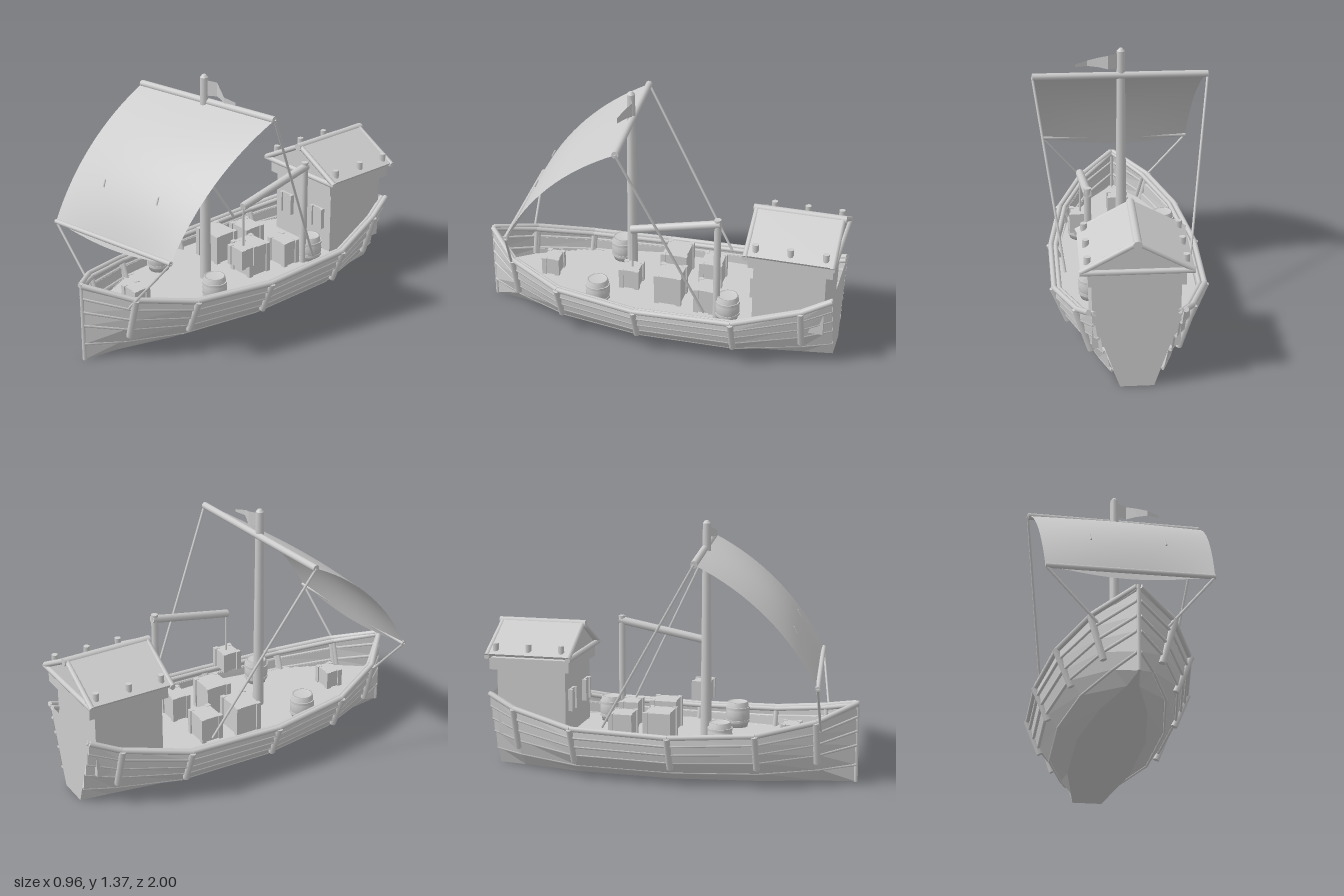
import * as THREE from 'three';

const wood = new THREE.MeshStandardMaterial({ color: 0xcccccc, side: THREE.DoubleSide });
wood.name = 'plainGrey';

const V = (x, y, z) => new THREE.Vector3(x, y, z);

function add(parent, name, geo, x = 0, y = 0, z = 0) {
  const m = new THREE.Mesh(geo, wood);
  m.name = name;
  m.position.set(x, y, z);
  parent.add(m);
  return m;
}
const box = (p, name, w, h, d, x, y, z) => add(p, name, new THREE.BoxGeometry(w, h, d), x, y, z);

// round bar from a to b
function bar(parent, name, a, b, r0, r1 = r0, sides = 10) {
  const dir = b.clone().sub(a);
  const m = add(parent, name, new THREE.CylinderGeometry(r1, r0, dir.length(), sides));
  m.position.copy(a).add(b).multiplyScalar(0.5);
  m.quaternion.setFromUnitVectors(V(0, 1, 0), dir.normalize());
}

// flat-shaded faces from a list of quads
function quads(list) {
  const pos = [];
  for (const [a, b, c, d] of list) for (const p of [a, b, c, a, c, d]) pos.push(p.x, p.y, p.z);
  const g = new THREE.BufferGeometry();
  g.setAttribute('position', new THREE.Float32BufferAttribute(pos, 3));
  g.computeVertexNormals();
  return g;
}

// hull stations: z, rail half width, rail height, bottom half width, straightness of the side
const stations = [
  [0.99, 0.004, 0.43, 0.002, 0], [0.8, 0.19, 0.36, 0.03, 0.3], [0.5, 0.325, 0.302, 0.115, 0.1],
  [0.05, 0.39, 0.28, 0.18, 0], [-0.48, 0.385, 0.295, 0.17, 0], [-0.83, 0.28, 0.36, 0.11, 0.45],
  [-0.985, 0.23, 0.425, 0.085, 1],
];
const levels = [0, 0.22, 0.47, 0.65, 0.83, 1];
const flare = [0, 0.42, 0.72, 0.85, 0.95, 1];
function flareAt(t) {
  const i = Math.max(1, levels.findIndex(l => t <= l));
  const k = (t - levels[i - 1]) / (levels[i] - levels[i - 1]);
  return flare[i - 1] + (flare[i] - flare[i - 1]) * k;
}
function hullPoint(i, t, side, off = 0) {
  const [z, w, h, b, straight] = stations[i];
  const f = THREE.MathUtils.lerp(flareAt(t), t, straight);
  const o = i === 0 ? off * 0.4 : off;
  return V(side * Math.max(b + (w - b) * f + o, 0), t * h, z);
}

function buildHull(g) {
  const hull = new THREE.Group();
  hull.name = 'hull';
  g.add(hull);
  const n = stations.length;
  const bottom = [];
  for (const s of [-1, 1]) {
    // lapped strakes
    for (let j = 0; j < 5; j++) {
      const q = [];
      for (let i = 0; i < n - 1; i++) {
        const lo = (k, o) => hullPoint(k, levels[j], s, o);
        const lip = j ? 0.016 : 0;
        q.push([lo(i, lip), lo(i + 1, lip), hullPoint(i + 1, levels[j + 1], s), hullPoint(i, levels[j + 1], s)]);
        if (j) q.push([lo(i, 0), lo(i + 1, 0), lo(i + 1, lip), lo(i, lip)]);
      }
      add(hull, 'strake', quads(q));
    }
    for (let i = 0; i < n - 1; i++) {
      // gunwale, inner rail and rubbing strips
      bar(hull, 'rail', hullPoint(i, 1, s, 0.008), hullPoint(i + 1, 1, s, 0.008), 0.015, 0.015, 8);
      bar(hull, 'innerRail', hullPoint(i, 0.98, s, -0.018), hullPoint(i + 1, 0.98, s, -0.018), 0.013, 0.013, 8);
      for (const t of levels.slice(1, 5)) {
        bar(hull, 'rubbingStrip', hullPoint(i, t, s, 0.01), hullPoint(i + 1, t, s, 0.01), 0.008, 0.008, 6);
      }
      // posts outside and ribs inside
      if (i > 0) {
        bar(hull, 'sidePost', hullPoint(i, 0.35, s, 0.03), hullPoint(i, 1, s, 0.016), 0.018, 0.018, 8);
        bar(hull, 'rib', hullPoint(i, 0.6, s, -0.014), hullPoint(i, 0.96, s, -0.014), 0.012, 0.012, 6);
      }
      if (s === 1) {
        bottom.push([hullPoint(i, 0, -1), hullPoint(i, 0, 1), hullPoint(i + 1, 0, 1), hullPoint(i + 1, 0, -1)]);
      }
    }
  }
  add(hull, 'bottom', quads(bottom));
  bar(hull, 'stem', V(0, 0, 0.989), V(0, 0.44, 0.989), 0.011, 0.011, 8);

  // transom
  const pts = [0, 1].map(t => hullPoint(n - 1, t, 1)).map(p => new THREE.Vector2(p.x, p.y));
  const outline = [...pts, ...pts.map(p => new THREE.Vector2(-p.x, p.y)).reverse()];
  add(hull, 'transom', new THREE.ShapeGeometry(new THREE.Shape(outline)), 0, 0, -0.985);

  // deck boards trimmed to the hull, over a solid underdeck
  const half = i => Math.abs(hullPoint(i, 0.2 / stations[i][2], 1).x);
  const board = (x0, x1, y) => {
    const q = [];
    for (let i = 0; i < n - 1; i++) {
      const c = (x, k) => V(THREE.MathUtils.clamp(x, -half(k), half(k)), y, stations[k][0]);
      q.push([c(x0, i), c(x1, i), c(x1, i + 1), c(x0, i + 1)]);
    }
    return quads(q);
  };
  for (let k = -4; k < 4; k++) add(hull, 'deckBoard', board(k * 0.095 + 0.002, k * 0.095 + 0.093, 0.205));
  add(hull, 'underdeck', board(-0.4, 0.4, 0.195));
}

function buildRig(g) {
  const rig = new THREE.Group();
  rig.name = 'rig';
  g.add(rig);
  bar(rig, 'mast', V(0, 0.2, 0.17), V(0, 1.36, 0.17), 0.031, 0.022, 12);
  add(rig, 'mastCap', new THREE.CylinderGeometry(0.01, 0.022, 0.014, 12), 0, 1.367, 0.17);
  const yl = V(-0.475, 1.206, 0.21), yr = V(0.475, 1.245, 0.11);
  const fl = V(-0.43, 0.592, 0.838), fr = V(0.425, 0.634, 0.745);
  bar(rig, 'yard', yl, yr, 0.019);
  bar(rig, 'footSpar', fl, fr, 0.013);

  // billowing sail
  const sailPoint = (u, v) => {
    const a = yl.clone().lerp(yr, u), b = fl.clone().lerp(fr, u);
    const c = a.clone().lerp(b, 0.5);
    c.y += 0.1;
    c.z += 0.11;
    const p = a.multiplyScalar((1 - v) ** 2).addScaledVector(c, 2 * v * (1 - v)).addScaledVector(b, v * v);
    const belly = Math.sin(Math.PI * u);
    p.z += 0.035 * belly * Math.sin(Math.PI * v);
    p.y -= 0.045 * belly * v ** 4;
    return p;
  };
  const sail = new THREE.PlaneGeometry(1, 1, 16, 16);
  const pos = sail.attributes.position;
  for (let i = 0; i < pos.count; i++) {
    const p = sailPoint(pos.getX(i) + 0.5, 0.5 - pos.getY(i));
    pos.setXYZ(i, p.x, p.y, p.z);
  }
  sail.computeVertexNormals();
  add(rig, 'sail', sail);
  for (const u of [0.28, 0.72]) {
    const p = sailPoint(u, 0.67);
    bar(rig, 'reefTie', p.clone().add(V(0, 0.02, 0)), p.clone().add(V(0.006, -0.016, 0.018)), 0.005, 0.005, 6);
  }

  // ropes
  bar(rig, 'sheet', fl, V(-0.17, 0.31, 0.82), 0.007, 0.007, 6);
  bar(rig, 'sheet', fr, V(0.17, 0.31, 0.82), 0.007, 0.007, 6);
  bar(rig, 'brace', yl, V(-0.33, 0.3, -0.32), 0.007, 0.007, 6);
  bar(rig, 'brace', yr, V(0.33, 0.3, -0.32), 0.007, 0.007, 6);

  // waving pennant: x, top, bottom, z
  const rows = [[0.015, 1.346, 1.262, 0.17], [0.07, 1.342, 1.266, 0.143], [0.12, 1.326, 1.272, 0.165],
    [0.18, 1.302, 1.272, 0.19], [0.245, 1.288, 1.274, 0.17]];
  const q = [];
  for (let i = 0; i < rows.length - 1; i++) {
    const [a, b] = [rows[i], rows[i + 1]];
    q.push([V(a[0], a[2], a[3]), V(b[0], b[2], b[3]), V(b[0], b[1], b[3]), V(a[0], a[1], a[3])]);
  }
  add(rig, 'pennant', quads(q));
}

// crate with corner battens
function crate(g, name, w, h, d, x, y, z) {
  const c = new THREE.Group();
  c.name = name;
  c.position.set(x, y, z);
  g.add(c);
  box(c, 'crateBody', w - 0.014, h - 0.004, d - 0.014, 0, h / 2, 0);
  for (const sx of [-1, 1]) for (const sz of [-1, 1]) {
    box(c, 'crateCorner', 0.026, h, 0.026, sx * (w / 2 - 0.013), h / 2, sz * (d / 2 - 0.013));
  }
}

function barrel(g, x, z) {
  const b = new THREE.Group();
  b.name = 'barrel';
  b.position.set(x, 0.205, z);
  g.add(b);
  const p = [[0, 0], [0.054, 0], [0.065, 0.045], [0.067, 0.07], [0.065, 0.095], [0.056, 0.14], [0.05, 0.14], [0.05, 0.134], [0, 0.134]];
  add(b, 'barrelBody', new THREE.LatheGeometry(p.map(a => new THREE.Vector2(...a)), 14));
  for (const y of [0.035, 0.105]) {
    add(b, 'hoop', new THREE.CylinderGeometry(0.067, 0.067, 0.014, 14), 0, y, 0);
  }
}

function buildCargo(g) {
  crate(g, 'crate', 0.16, 0.17, 0.15, 0.09, 0.205, -0.075);
  crate(g, 'crate', 0.18, 0.165, 0.15, -0.16, 0.205, -0.045);
  crate(g, 'crate', 0.15, 0.14, 0.13, -0.145, 0.205, -0.255);
  crate(g, 'crate', 0.14, 0.14, 0.11, 0.13, 0.205, -0.285);
  crate(g, 'crate', 0.12, 0.1, 0.1, -0.01, 0.205, 0.64);
  for (const [x, z] of [[0.23, 0.3], [-0.245, 0.3], [0.2, -0.42]]) barrel(g, x, z);
  // hoist with hanging crate
  bar(g, 'hoistPost', V(0.21, 0.2, -0.36), V(0.21, 0.805, -0.36), 0.019);
  bar(g, 'hoistBoom', V(0.21, 0.78, -0.375), V(0.23, 0.685, 0.105), 0.022);
  bar(g, 'hoistRope', V(0.23, 0.69, 0.1), V(0.23, 0.45, 0.1), 0.006, 0.006, 6);
  crate(g, 'hangingCrate', 0.12, 0.11, 0.11, 0.23, 0.35, 0.105);
}

function buildCabin(g) {
  const cabin = new THREE.Group();
  cabin.name = 'cabin';
  g.add(cabin);
  box(cabin, 'cabinWalls', 0.44, 0.38, 0.385, 0, 0.39, -0.75);
  box(cabin, 'eavesBand', 0.48, 0.065, 0.45, 0, 0.593, -0.755);
  // window shutters on the front wall
  for (const s of [-1, 1]) {
    box(cabin, 'shutter', 0.09, 0.12, 0.012, s * 0.125, 0.395, -0.55);
    for (const e of [-1, 1]) box(cabin, 'shutterEdge', 0.018, 0.12, 0.024, s * 0.125 + e * 0.038, 0.395, -0.545);
  }
  // gabled roof
  const tri = new THREE.Shape([[-0.25, 0.635], [0.25, 0.635], [0, 0.785]].map(a => new THREE.Vector2(...a)));
  add(cabin, 'gable', new THREE.ExtrudeGeometry(tri, { depth: 0.44, bevelEnabled: false }), 0, 0, -0.975);
  const slope = Math.atan2(0.15, 0.272);
  for (const s of [-1, 1]) {
    box(cabin, 'roofPanel', 0.312, 0.014, 0.47, s * 0.137, 0.722, -0.75).rotation.z = -s * slope;
    for (const z of [-0.523, -0.98]) {
      bar(cabin, 'rafter', V(0, 0.792, z), V(s * 0.277, 0.642, z), 0.015, 0.015, 8);
    }
    for (const z of [-0.57, -0.755, -0.94]) {
      add(cabin, 'roofPeg', new THREE.CylinderGeometry(0.017, 0.017, 0.055, 8), s * 0.24, 0.68, z);
    }
  }
  for (const z of [-0.523, -0.98]) bar(cabin, 'tieBeam', V(-0.28, 0.638, z), V(0.28, 0.638, z), 0.015, 0.015, 8);
  bar(cabin, 'ridgePole', V(0, 0.787, -0.505), V(0, 0.787, -1), 0.022);
}

export function createModel() {
  const g = new THREE.Group();
  g.name = 'sailingBoat';
  buildHull(g);
  buildRig(g);
  buildCargo(g);
  buildCabin(g);
  return g;
}
